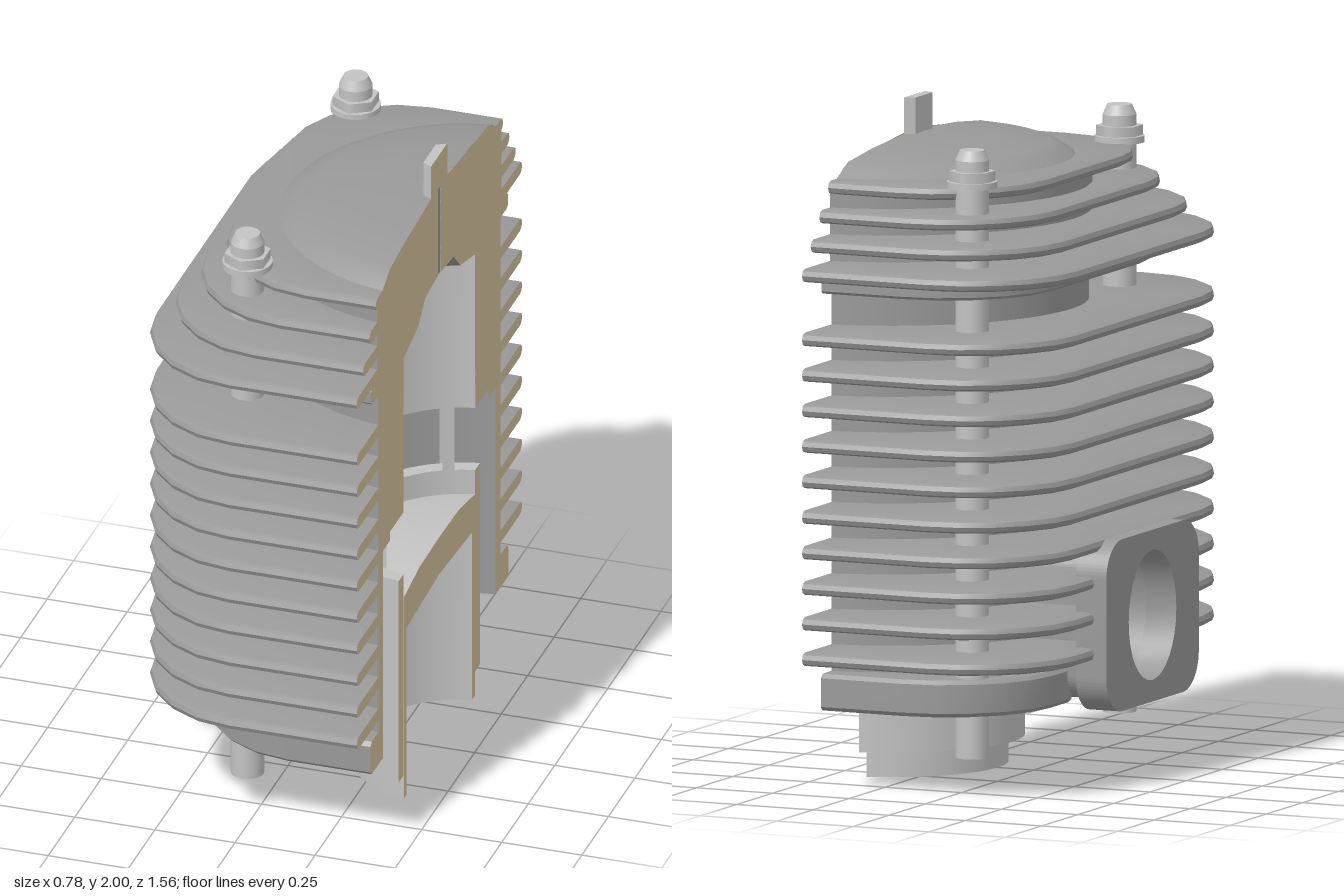
import * as THREE from 'three';
import { toCreasedNormals } from 'three/addons/utils/BufferGeometryUtils.js';

const AXIS = 0.46;   // x of the bore axis
const CUT = 0.39;    // x of the section plane
const D = AXIS - CUT;
const RAD = Math.PI / 180;

const mat = (name, color) => {
  const m = new THREE.MeshStandardMaterial({ color, side: THREE.DoubleSide });
  m.name = name;
  return m;
};

export function createModel() {
  const root = new THREE.Group();
  root.name = 'sectionedCylinder';
  const grey = mat('castGrey', 0x999999);
  const light = mat('machinedSteel', 0xc2c2c2);
  const tan = mat('sectionTan', 0xd4c39c);

  const add = (name, geo, m, x = 0, y = 0, z = 0) => {
    const mesh = new THREE.Mesh(geo, m);
    mesh.name = name;
    mesh.position.set(x, y, z);
    root.add(mesh);
    return mesh;
  };

  // Surface from a rule f(column 0..1, row index) -> [x, y, z]
  const grid = (cols, rows, f) => {
    const g = new THREE.PlaneGeometry(1, 1, cols, rows - 1);
    const p = g.attributes.position;
    for (let j = 0; j < rows; j++)
      for (let i = 0; i <= cols; i++) p.setXYZ(j * (cols + 1) + i, ...f(i / cols, j));
    return toCreasedNormals(g, 0.6);
  };

  // Turned surface about the bore axis, stopped at the section plane.
  // Angles run from -x; a range that starts above zero is mirrored in z.
  const turned = (name, profile, m, from = 0, to = 90) => {
    const sides = from > 0 ? [1, -1] : [1];
    for (const s of sides) {
      add(name, grid(from > 0 ? 20 : 48, profile.length, (t, j) => {
        const r = Math.max(profile[j][0], D);
        const end = Math.min(to * RAD, Math.acos(D / r));
        const start = from > 0 ? Math.min(from * RAD, end) : -end;
        const a = s * (start + (end - start) * t);
        return [AXIS - r * Math.cos(a), profile[j][1], r * Math.sin(a)];
      }), m);
    }
  };

  // Flat section face from a half outline of [z, y] points, on both sides
  const sectionFace = (name, pts) => {
    for (const s of [1, -1]) {
      const shape = new THREE.Shape(pts.map(([z, y]) => new THREE.Vector2(s * z, y)));
      add(name, new THREE.ShapeGeometry(shape).rotateY(Math.PI / 2), tan, CUT);
    }
  };
  const chord = ([r, y]) => [Math.sqrt(Math.max(0, r * r - D * D)), y];

  // Rounded-square ring swept from the middle of the side to the section plane
  const ring = (name, y, hx, hz, edge, inner, z0 = 0) => {
    const h = edge[edge.length - 1][1];
    const rows = [[null, -h], ...edge, [null, h]];
    const N = 7;
    const point = (k, inset) => {
      const X = hx - inset, Z = hz - inset, R = 0.34 - inset;
      if (k === 0) return [X, z0];
      if (k === N) return [D, Z];
      const a = (k - 1) / (N - 2) * Math.PI / 2;
      return [X - R + R * Math.cos(a), Z - R + R * Math.sin(a)];
    };
    for (const s of [1, -1]) {
      add(name, grid(N, rows.length, (t, j) => {
        const [inset, dy] = rows[j];
        let [u, z] = point(Math.round(t * N), inset ?? 0);
        if (inset === null) {
          const k = inner / Math.hypot(u, z);
          u = Math.max(D, u * k);
          z = Math.max(z0, z * k);
        }
        return [AXIS - u, y + dy, s * z];
      }), grey);
    }
    sectionFace(name + 'Section', rows.map(([i, dy]) => [i === null ? inner - 0.01 : hz - i, y + dy]));
  };
  const finEdge = [-90, -45, 0, 45, 90].map(a => [0.02 * (1 - Math.cos(a * RAD)), 0.02 * Math.sin(a * RAD)]);
  const plateEdge = (h, b) => [[b, -h], [0, b - h], [0, h - b], [b, h]];

  // Cooling fins; the lowest ones leave room for the side port
  for (let i = 0; i < 10; i++)
    ring('barrelFin', 0.41 + i * 0.1065, 0.81, 0.78, finEdge, 0.57, i < 3 ? 0.18 : 0);
  for (let i = 0; i < 4; i++)
    ring('headFin', 1.56 + i * 0.08, 0.81 - i * 0.06, 0.78 - i * 0.06, finEdge, i === 3 ? 0.52 : 0.58);
  ring('baseFlange', 0.295, 0.67, 0.65, plateEdge(0.055, 0.012), 0.56, 0.18);
  ring('headFlange', 1.515, 0.67, 0.645, plateEdge(0.026, 0.008), 0.57);

  // Barrel and head walls
  turned('barrelWall', [[0.58, 0.69], [0.58, 1.5]], grey);
  turned('barrelWallLower', [[0.58, 0.3], [0.58, 0.69]], grey, 19);
  turned('headWall', [[0.59, 1.49], [0.59, 1.8]], grey);
  turned('headDome', [[0.54, 1.819], [0.5, 1.845], [0.46, 1.86], [0.3, 1.878], [0.07, 1.895]], grey);
  const chamber = [[0.345, 1.49], [0.21, 1.525], [0.15, 1.588], [D, 1.6]];
  turned('combustionChamber', chamber, grey);

  // Bore with transfer windows
  turned('bore', [[0.345, 0.97], [0.345, 1.49]], light);
  turned('boreBack', [[0.345, 0.76], [0.345, 0.97]], light, 0, 28.6);
  turned('portPillar', [[0.39, 0.76], [0.345, 0.76], [0.345, 0.97], [0.39, 0.97], [0.39, 0.76]], light, 62, 68);
  const liner = [[0.345, 0.76], [0.345, 0.08], [0.39, 0.08], [0.39, 0.76], [0.345, 0.76]];
  turned('liner', liner, light);
  sectionFace('linerSection', liner.slice(0, 4).map(chord));

  // Transfer channels and the barrel underside
  turned('transferChannel', [[0.535, 0.24], [0.535, 0.94], [0.47, 0.94], [0.47, 0.97], [0.345, 0.97]], grey, 28.6);
  for (const s of [1, -1])
    add('channelEnd', grid(1, 2, (t, j) => {
      const r = 0.36 + 0.175 * t, a = 28.6 * RAD * s;
      return [AXIS - r * Math.cos(a), j ? 0.97 : 0.24, r * Math.sin(a)];
    }), grey);
  turned('underside', [[0.39, 0.24], [0.58, 0.24]], grey, 0, 28.6);
  turned('undersideRim', [[0.535, 0.24], [0.58, 0.24]], grey, 28.6);

  // Main section face and the plug hole in it
  sectionFace('bodySection', [
    [0.53, 0.24], [0.53, 0.94], [0.465, 0.94], [0.465, 0.97], [0.338, 0.97],
    ...chamber.slice(0, 3).map(chord), [0.012, 1.6], [0.012, 1.895],
    [0.08, 1.894], [0.46, 1.86], [0.54, 1.82], [0.585, 1.81],
    [0.585, 1.49], [0.576, 1.49], [0.576, 0.24],
  ]);
  add('plugHole', new THREE.BoxGeometry(0.004, 0.295, 0.024), grey, CUT - 0.004, 1.7475);

  // Piston
  const piston = [[D, 0.71], [0.2, 0.706], [0.342, 0.68], [0.342, 0], [0.316, 0], [0.316, 0.565], [D, 0.585]];
  turned('piston', piston, light);
  sectionFace('pistonSection', piston.map(chord));

  // Side port: mounting plate and neck with an oval bore
  const portPart = (name, w, h, r, depth, y) => {
    const a = w / 2, b = h / 2, s = new THREE.Shape();
    s.absarc(a - r, b - r, r, 0, Math.PI / 2);
    s.absarc(r - a, b - r, r, Math.PI / 2, Math.PI);
    s.absarc(r - a, r - b, r, Math.PI, Math.PI * 1.5);
    s.absarc(a - r, r - b, r, Math.PI * 1.5, Math.PI * 2);
    const hole = new THREE.Path();
    hole.absellipse(0, 0.49 - y, 0.165, 0.195, 0, Math.PI * 2, true);
    s.holes.push(hole);
    const g = new THREE.ExtrudeGeometry(s, { depth, bevelEnabled: false, curveSegments: 16 });
    return add(name, toCreasedNormals(g.rotateY(Math.PI / 2), 0.6), grey, 0, y);
  };
  portPart('portFlange', 0.64, 0.515, 0.11, 0.1, 0.4875).position.x = -0.39;
  portPart('portNeck', 0.42, 0.46, 0.08, 0.35, 0.48).position.x = -0.29;

  // Studs with washers and nuts
  for (const z of [0.51, -0.51]) {
    add('stud', new THREE.CylinderGeometry(0.05, 0.05, 1.79, 24), light, -0.04, 1.005, z);
    add('studTip', new THREE.CylinderGeometry(0.037, 0.05, 0.03, 24), light, -0.04, 1.915, z);
    add('washer', new THREE.CylinderGeometry(0.075, 0.075, 0.02, 24), light, -0.04, 1.827, z);
    add('nut', new THREE.CylinderGeometry(0.07, 0.07, 0.035, 6), light, -0.04, 1.85, z);
  }

  // Plug hexagon, cut by the section plane
  const hex = new THREE.Shape([[0.36, -0.058], [CUT, -0.075], [CUT, 0.075], [0.36, 0.058]]
    .map(([x, z]) => new THREE.Vector2(x, z)));
  add('plugHex', new THREE.ExtrudeGeometry(hex, { depth: 0.11, bevelEnabled: false })
    .rotateX(-Math.PI / 2).translate(-0.001, 1.89, 0), light);
  sectionFace('plugSection', [[0, 1.895], [0.075, 1.895], [0.075, 2], [0, 2]]);

  return root;
}
